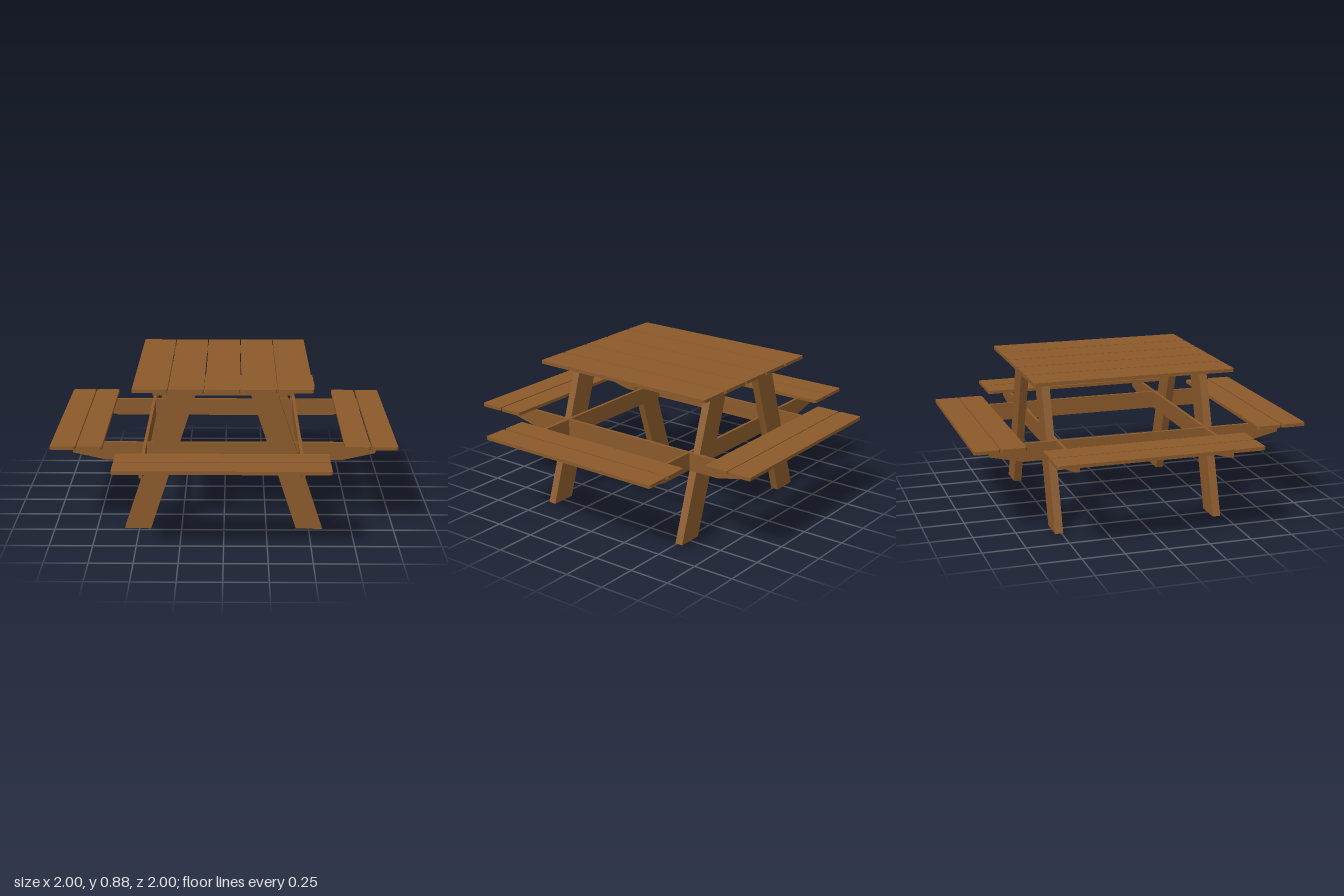
import * as THREE from 'three';

const wood = new THREE.MeshStandardMaterial({ color: 0x8b5a2b });
wood.name = 'brown wood';

function extrude(points, depth) {
  const shape = new THREE.Shape(points.map(([x, y]) => new THREE.Vector2(x, y)));
  return new THREE.ExtrudeGeometry(shape, { depth, bevelEnabled: false });
}

// Flat board with clipped corners, given by its extents
function board(name, x0, x1, z0, z1, y0, y1, c = 0.008) {
  const w = (x1 - x0) / 2, d = (z1 - z0) / 2;
  const geo = extrude([
    [-w + c, -d], [w - c, -d], [w, -d + c], [w, d - c],
    [w - c, d], [-w + c, d], [-w, d - c], [-w, -d + c],
  ], y1 - y0);
  geo.rotateX(-Math.PI / 2).translate((x0 + x1) / 2, y0, (z0 + z1) / 2);
  const mesh = new THREE.Mesh(geo, wood);
  mesh.name = name;
  return mesh;
}

// Long seat support whose ends taper upward
function rail(name) {
  const geo = extrude([
    [-0.69, 0.413], [0.69, 0.413], [0.885, 0.457],
    [0.885, 0.52], [-0.885, 0.52], [-0.885, 0.457],
  ], 0.019);
  const mesh = new THREE.Mesh(geo, wood);
  mesh.name = name;
  return mesh;
}

export function createModel() {
  const model = new THREE.Group();
  model.name = 'picnicTable';

  // Table top: five planks running front to back
  const top = new THREE.Group();
  top.name = 'tableTop';
  for (let i = 0; i < 5; i++) {
    const x = -0.522 + i * 0.2075;
    top.add(board('topPlank', x, x + 0.202, -0.632, 0.573, 0.86, 0.88));
  }
  model.add(top);

  // Battens under the top, one above each pair of legs
  for (const z of [-0.51, 0.457]) {
    model.add(board('topBatten', -0.405, 0.403, z - 0.076, z + 0.076, 0.835, 0.855, 0.001));
  }

  // Splayed legs
  for (const z of [-0.538, 0.432]) {
    for (const side of [-1, 1]) {
      const pts = [[0.428, 0], [0.583, 0], [0.311, 0.832], [0.156, 0.832]];
      const geo = extrude(pts.map(([x, y]) => [side * x - 0.003, y]), 0.048);
      const leg = new THREE.Mesh(geo, wood);
      leg.name = 'leg';
      leg.position.z = z;
      model.add(leg);
    }
  }

  // Seat supports crossing in both directions
  for (const z of [-0.494, 0.412]) {
    const r = rail('sideSeatRail');
    r.position.z = z;
    model.add(r);
  }
  for (const x of [-0.469, 0.435]) {
    const r = rail('endSeatRail');
    r.rotation.y = Math.PI / 2;
    r.position.x = x;
    model.add(r);
  }

  // Four benches of two planks each
  for (const [a, b] of [[-1, -0.853], [-0.847, -0.7], [0.696, 0.843], [0.853, 1]]) {
    model.add(board('sideBenchPlank', a, b, -0.632, 0.573, 0.52, 0.54));
    model.add(board('endBenchPlank', -0.612, 0.595, a, b, 0.52, 0.54));
  }
  return model;
}
